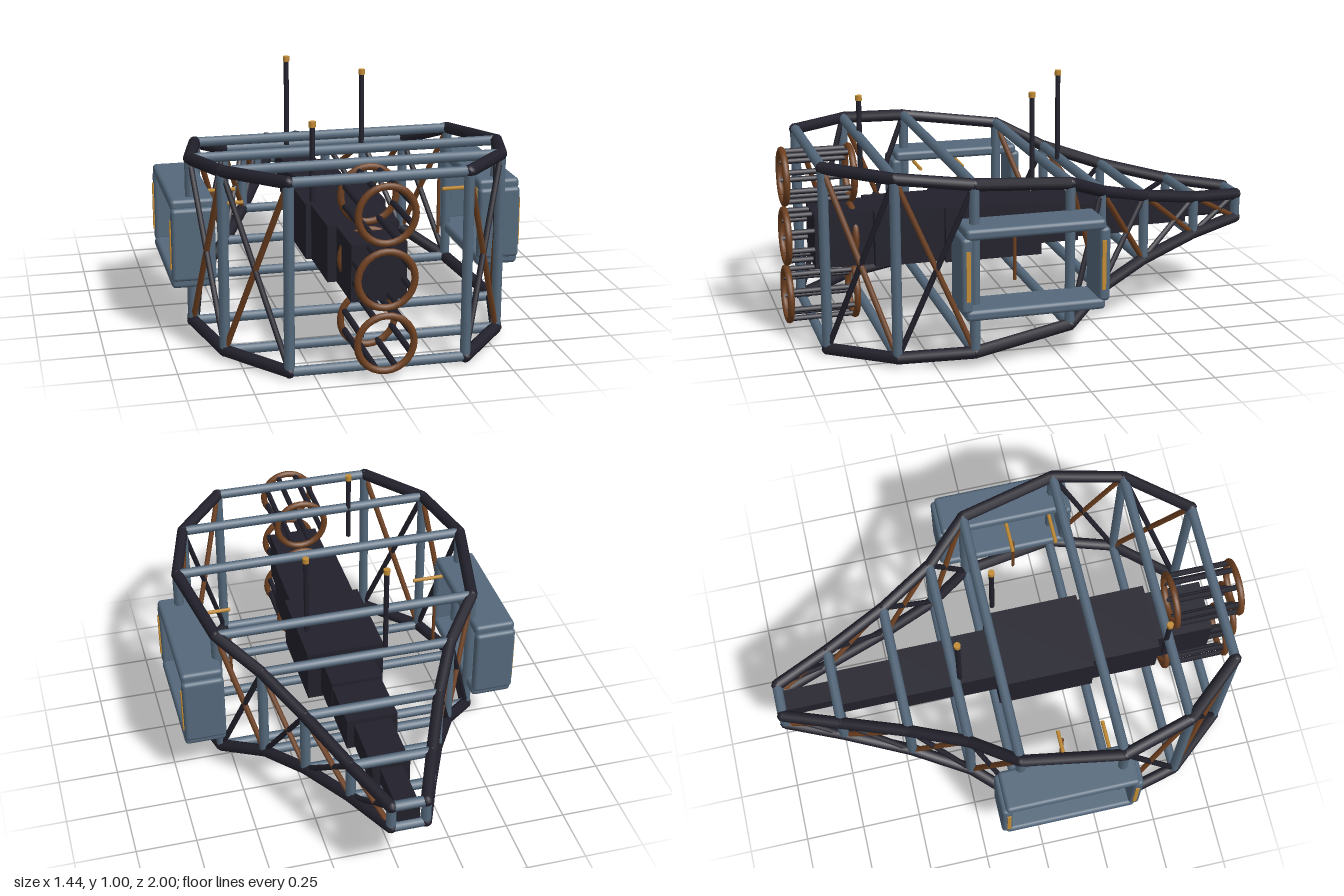
import * as THREE from 'three';
import { RoundedBoxGeometry } from 'three/addons/geometries/RoundedBoxGeometry.js';

const mat = (name, color) => Object.assign(new THREE.MeshStandardMaterial({ color }), { name });
const V = (x, y, z) => new THREE.Vector3(x, y, z);

export function createModel() {
  const root = new THREE.Group();
  root.name = 'trussFrameCraft';
  const dark = mat('dark metal', 0x22212c);
  const steel = mat('blue steel', 0x54687b);
  const copper = mat('copper', 0x6e4020);
  const gold = mat('gold', 0xc38c35);

  const add = (name, geo, material, x = 0, y = 0, z = 0) => {
    const m = new THREE.Mesh(geo, material);
    m.name = name;
    m.position.set(x, y, z);
    root.add(m);
    return m;
  };
  // Round bar between two points
  const bar = (name, a, b, r, material, sides = 8) => {
    const d = b.clone().sub(a);
    const m = add(name, new THREE.CylinderGeometry(r, r, d.length(), sides), material);
    m.position.copy(a).add(b).multiplyScalar(0.5);
    m.quaternion.setFromUnitVectors(V(0, 1, 0), d.normalize());
    return m;
  };

  // Frame stations: z, half width, half height about the centre line
  const midY = 0.395;
  const stations = [
    [0.88, 0.345, 0.37], [0.64, 0.55, 0.36], [0.35, 0.63, 0.337], [-0.06, 0.55, 0.292],
    [-0.24, 0.4, 0.207], [-0.47, 0.28, 0.138], [-0.74, 0.165, 0.08], [-0.975, 0.07, 0.052],
  ];
  const corner = (i, sx, sy) => V(sx * stations[i][1], midY + sy * stations[i][2], stations[i][0]);

  stations.forEach((s, i) => {
    const last = i === stations.length - 1;
    for (const t of [-1, 1]) {
      bar('crossBar', corner(i, -1, t), corner(i, 1, t), 0.021, steel);
      bar('upright', corner(i, t, -1), corner(i, t, 1), 0.021, steel);
    }
    for (const sx of [-1, 1]) {
      for (const sy of [-1, 1]) {
        const p = corner(i, sx, sy);
        add('frameJoint', new THREE.SphereGeometry(0.025, 8, 6), dark, p.x, p.y, p.z);
        if (!last) bar('longeron', p, corner(i + 1, sx, sy), 0.025, dark);
      }
      // Crossed braces, except in the bay that holds the side pods
      if (!last && i !== 2) {
        bar('copperBrace', corner(i, sx, 1), corner(i + 1, sx, -1), 0.012, copper, 6);
        bar('darkBrace', corner(i, sx, -1), corner(i + 1, sx, 1), 0.012, dark, 6);
      }
    }
  });

  // Stepped central spine: front z, back z, half width, half height
  [
    [0.88, 0.64, 0.108, 0.113], [0.64, 0.35, 0.143, 0.114], [0.35, -0.06, 0.165, 0.115],
    [-0.06, -0.24, 0.108, 0.085], [-0.24, -0.47, 0.106, 0.07],
    [-0.47, -0.74, 0.077, 0.052], [-0.74, -0.975, 0.045, 0.035],
  ].forEach(([z0, z1, w, h]) =>
    add('spineBlock', new THREE.BoxGeometry(2 * w, 2 * h, z0 - z1), dark, 0, midY, (z0 + z1) / 2));

  // Three engine cages: two rings joined by rods
  for (const y of [0.15, 0.4, 0.65]) {
    for (const z of [0.985, 0.712])
      add('engineRing', new THREE.TorusGeometry(0.109, 0.014, 8, 28), copper, 0, y, z);
    for (let k = 0; k < 8; k++) {
      const a = (k + 0.5) * Math.PI / 4;
      const x = 0.103 * Math.cos(a), yy = y + 0.103 * Math.sin(a);
      bar('engineRod', V(x, yy, 0.712), V(x, yy, 0.985), 0.012, dark, 6);
    }
  }

  // Hollow side pods with gold strips and mounting rods
  for (const s of [-1, 1]) {
    const slabX = s * 0.63;
    for (const y of [0.237, 0.558])
      add('podPanel', new RoundedBoxGeometry(0.175, 0.045, 0.56, 2, 0.016), steel, slabX, y, 0.125);
    for (const [z, stripZ] of [[0.4, 0.397], [-0.15, -0.144]]) {
      add('podEnd', new RoundedBoxGeometry(0.175, 0.3, 0.045, 2, 0.016), steel, slabX, 0.397, z);
      add('podStrip', new THREE.BoxGeometry(0.006, 0.2, 0.016), gold, s * 0.719, 0.397, stripZ);
    }
    for (const z of [0.13, 0.32])
      bar('podMount', V(s * 0.415, 0.53, z), V(s * 0.56, 0.53, z), 0.008, gold, 6);
    bar('podPost', V(s * 0.455, 0.28, 0.14), V(s * 0.455, 0.53, 0.14), 0.007, copper, 6);
  }

  // Antennas with gold tips
  for (const [x, z, top] of [[-0.2, 0.63, 0.925], [-0.125, -0.22, 1], [0.157, -0.02, 0.972]]) {
    bar('antenna', V(x, 0.61, z), V(x, top - 0.02, z), 0.011, dark);
    bar('antennaTip', V(x, top - 0.022, z), V(x, top, z), 0.014, gold);
  }
  return root;
}
